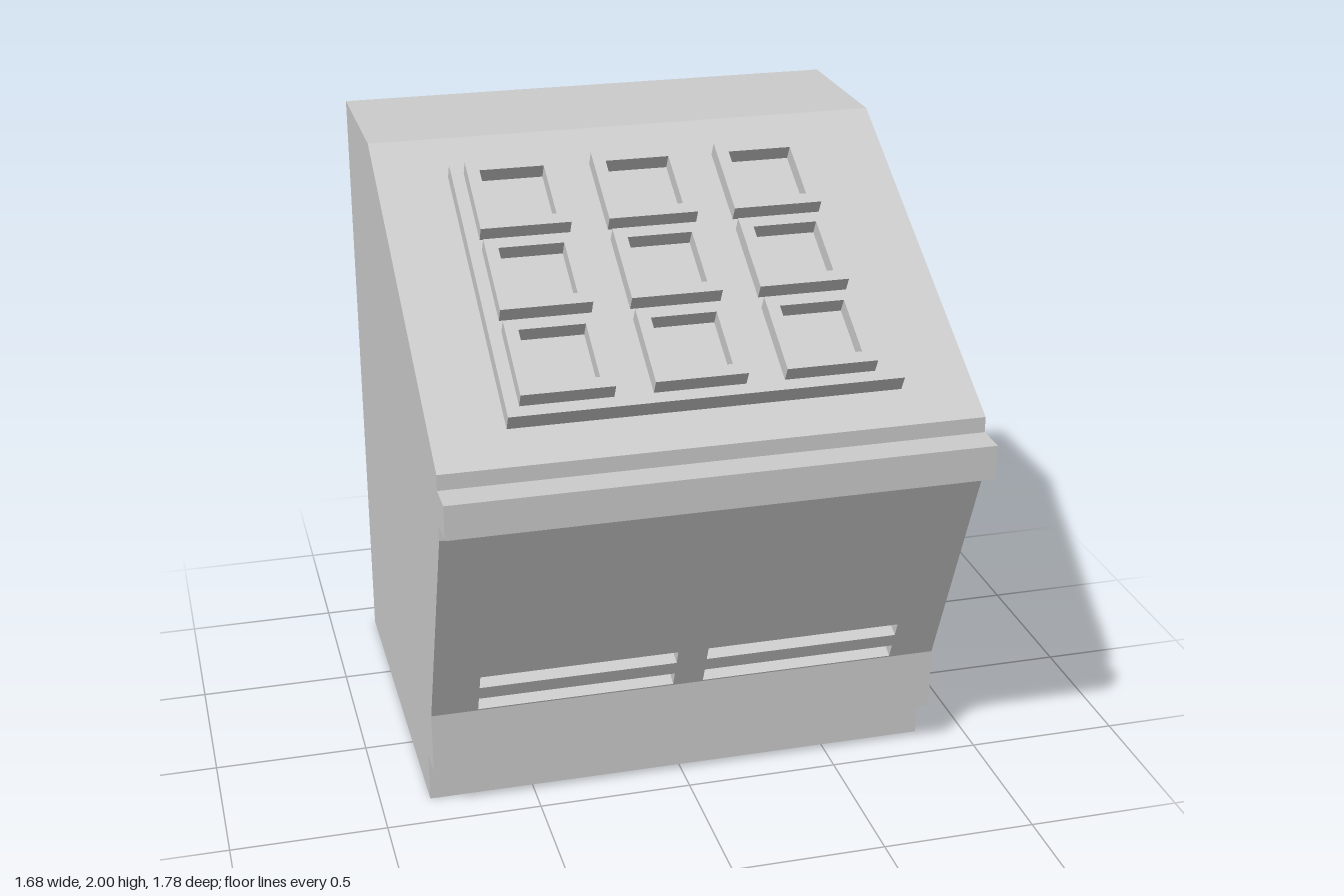
import * as THREE from 'three';

const grey = new THREE.MeshStandardMaterial({ color: 0xcccccc });
grey.name = 'light grey';

const HALF = 0.84;

// Extrude a side outline of [z, y] points between two x positions
function slab(name, points, x0, x1) {
  const shape = new THREE.Shape(points.map(([z, y]) => new THREE.Vector2(z, y)));
  const geo = new THREE.ExtrudeGeometry(shape, { depth: x1 - x0, bevelEnabled: false });
  geo.rotateY(-Math.PI / 2);
  geo.translate(x1, 0, 0);
  const mesh = new THREE.Mesh(geo, grey);
  mesh.name = name;
  return mesh;
}

// Depth of the leaning front wall at a given height
const wallZ = (y) => 0.47 + (y - 0.37) * (0.32 / 0.77);

// One vent slot cut into the front wall, with a floor rising inward
const slot = (y) => [[wallZ(y), y], [wallZ(y) - 0.09, y + 0.04], [wallZ(y + 0.05), y + 0.05]];

function outline(vented) {
  return [
    [-0.89, 0], [0.365, 0], [0.365, 0.165], [0.47, 0.165], [0.47, 0.37],
    ...(vented ? [...slot(0.375), ...slot(0.475)] : []),
    [0.79, 1.14], [0.79, 1.35], [-0.365, 2], [-0.89, 2],
  ];
}

// Square button rim with an open centre
function buttonFrame() {
  const o = 0.1425, i = 0.1025;
  const shape = new THREE.Shape([[-o, -o], [o, -o], [o, o], [-o, o]].map((p) => new THREE.Vector2(...p)));
  shape.holes.push(new THREE.Path([[-i, -i], [-i, i], [i, i], [i, -i]].map((p) => new THREE.Vector2(...p))));
  return new THREE.ExtrudeGeometry(shape, { depth: 0.05, bevelEnabled: false });
}

export function createModel() {
  const model = new THREE.Group();
  model.name = 'console';

  // Cabinet, split across its width into plain and vented sections
  const cuts = [-HALF, -0.69, -0.05, 0.05, 0.69, HALF];
  const body = new THREE.Group();
  body.name = 'cabinet';
  for (let i = 0; i < 5; i++) {
    const vented = i % 2 === 1;
    body.add(slab(vented ? 'ventedSection' : 'plainSection', outline(vented), cuts[i], cuts[i + 1]));
  }
  model.add(body);

  // Front ledge
  model.add(slab('frontLedge', [[0.77, 1.19], [0.895, 1.19], [0.895, 1.3], [0.77, 1.3]], -HALF, HALF));

  // Sloping keypad: local y runs up the slope, local z points out of it
  const keypad = new THREE.Group();
  keypad.name = 'keypad';
  keypad.position.set(0, 1.35, 0.79);
  keypad.rotation.x = -Math.atan2(1.155, 0.65);
  model.add(keypad);

  const plate = new THREE.Mesh(new THREE.BoxGeometry(1.22, 1.016, 0.065), grey);
  plate.name = 'keypadPlate';
  plate.position.set(0, 0.646, 0.0225);
  keypad.add(plate);

  // Nine button rims
  const frame = buttonFrame();
  for (let row = 0; row < 3; row++) {
    for (let col = 0; col < 3; col++) {
      const button = new THREE.Mesh(frame, grey);
      button.name = 'buttonFrame';
      button.position.set(-0.4275 + col * 0.405, 0.3175 + row * 0.327, 0.055);
      keypad.add(button);
    }
  }
  return model;
}
